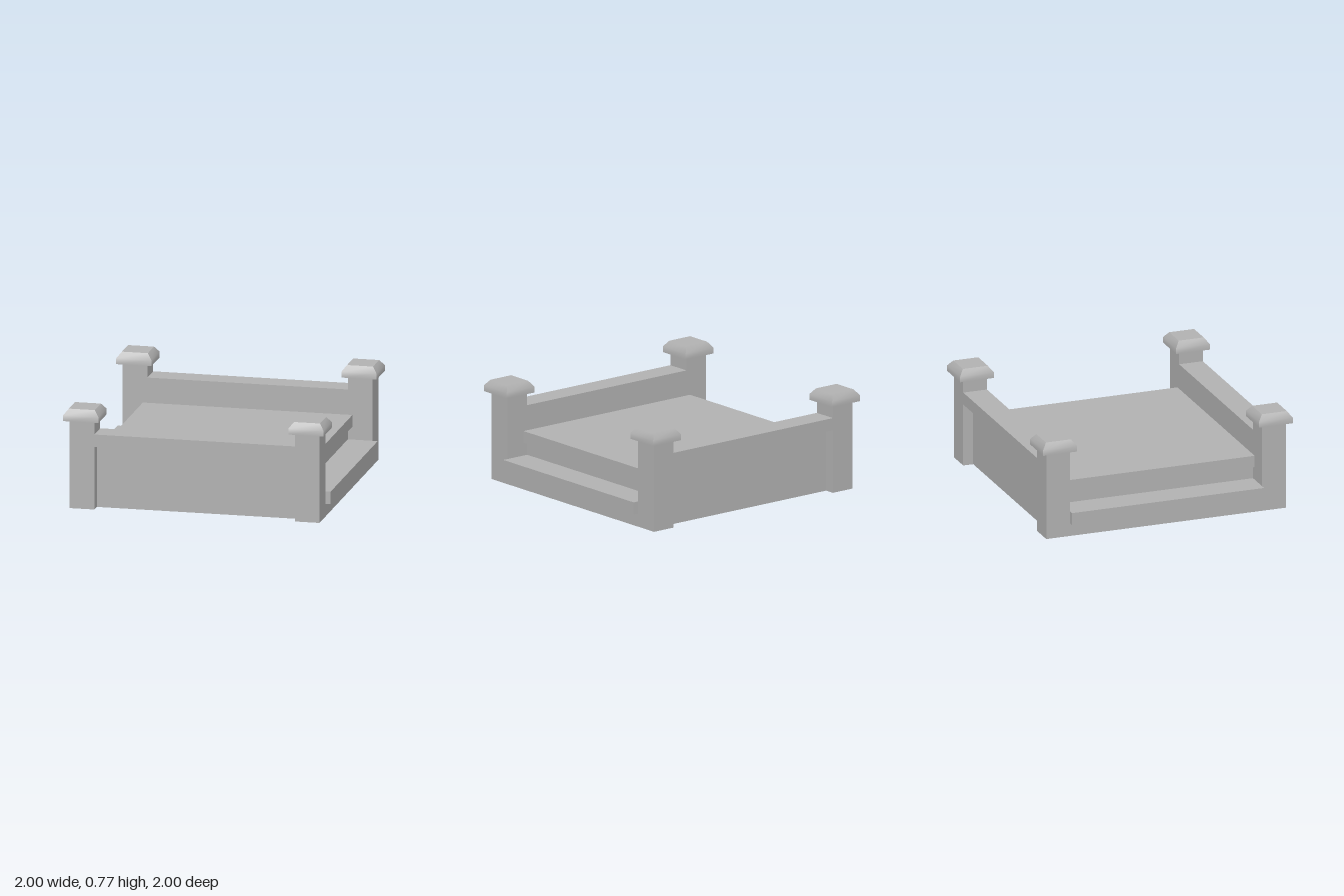
import * as THREE from 'three';
import { mergeGeometries } from 'three/addons/utils/BufferGeometryUtils.js';

// Post cap: four bent sides (upright, then sloping in), a flat top and a flat underside
function capGeometry() {
  const rows = [[0.10, 0.77], [0.135, 0.725], [0.135, 0.68]]; // half width, height
  const parts = [];
  for (let i = 0; i < 4; i++) {
    const side = new THREE.PlaneGeometry(2, 1, 1, 2);
    const p = side.attributes.position;
    for (let v = 0; v < p.count; v++) {
      const [half, y] = rows[Math.floor(v / 2)];
      p.setXYZ(v, Math.sign(p.getX(v)) * half, y, half);
    }
    side.computeVertexNormals();
    parts.push(side.rotateY(i * Math.PI / 2));
  }
  parts.push(new THREE.PlaneGeometry(0.2, 0.2).rotateX(-Math.PI / 2).translate(0, 0.77, 0));
  parts.push(new THREE.PlaneGeometry(0.27, 0.27).rotateX(Math.PI / 2).translate(0, 0.68, 0));
  return mergeGeometries(parts);
}

export function createModel() {
  const group = new THREE.Group();
  const grey = new THREE.MeshStandardMaterial({ color: 0xb2b2b2 });
  grey.name = 'plain grey';

  const add = (name, geometry) => {
    const mesh = new THREE.Mesh(geometry, grey);
    mesh.name = name;
    group.add(mesh);
    return mesh;
  };
  // Box given by its lowest and highest corner
  const box = (name, x0, x1, y0, y1, z0, z1) => add(name,
    new THREE.BoxGeometry(x1 - x0, y1 - y0, z1 - z0)
      .translate((x0 + x1) / 2, (y0 + y1) / 2, (z0 + z1) / 2));

  // Stacked platform between the end boards
  box('base', -0.96, 0.96, 0, 0.1, -0.77, 0.77);
  box('sideLedge', -1, 1, 0.1, 0.195, -0.77, 0.77);
  box('recessedCore', -0.77, 0.77, 0.195, 0.295, -0.77, 0.77);
  box('topSlab', -0.805, 0.805, 0.295, 0.385, -0.77, 0.77);

  // End boards: panel set back under a full-depth rail
  for (const [name, s] of [['front', 1], ['back', -1]]) {
    const span = (a, b) => (s > 0 ? [a, b] : [-b, -a]);
    box(name + 'Panel', -0.77, 0.77, 0, 0.485, ...span(0.77, 0.88));
    box(name + 'Rail', -0.77, 0.77, 0.485, 0.58, ...span(0.77, 0.96));

    // Corner posts with caps
    for (const [side, t] of [['Left', 1], ['Right', -1]]) {
      const post = add(name + side + 'Post', new THREE.BoxGeometry(0.19, 0.68, 0.19));
      post.position.set(t * 0.865, 0.34, s * 0.865);
      const cap = add(name + side + 'Cap', capGeometry());
      cap.position.set(t * 0.865, 0, s * 0.865);
    }
  }
  return group;
}
